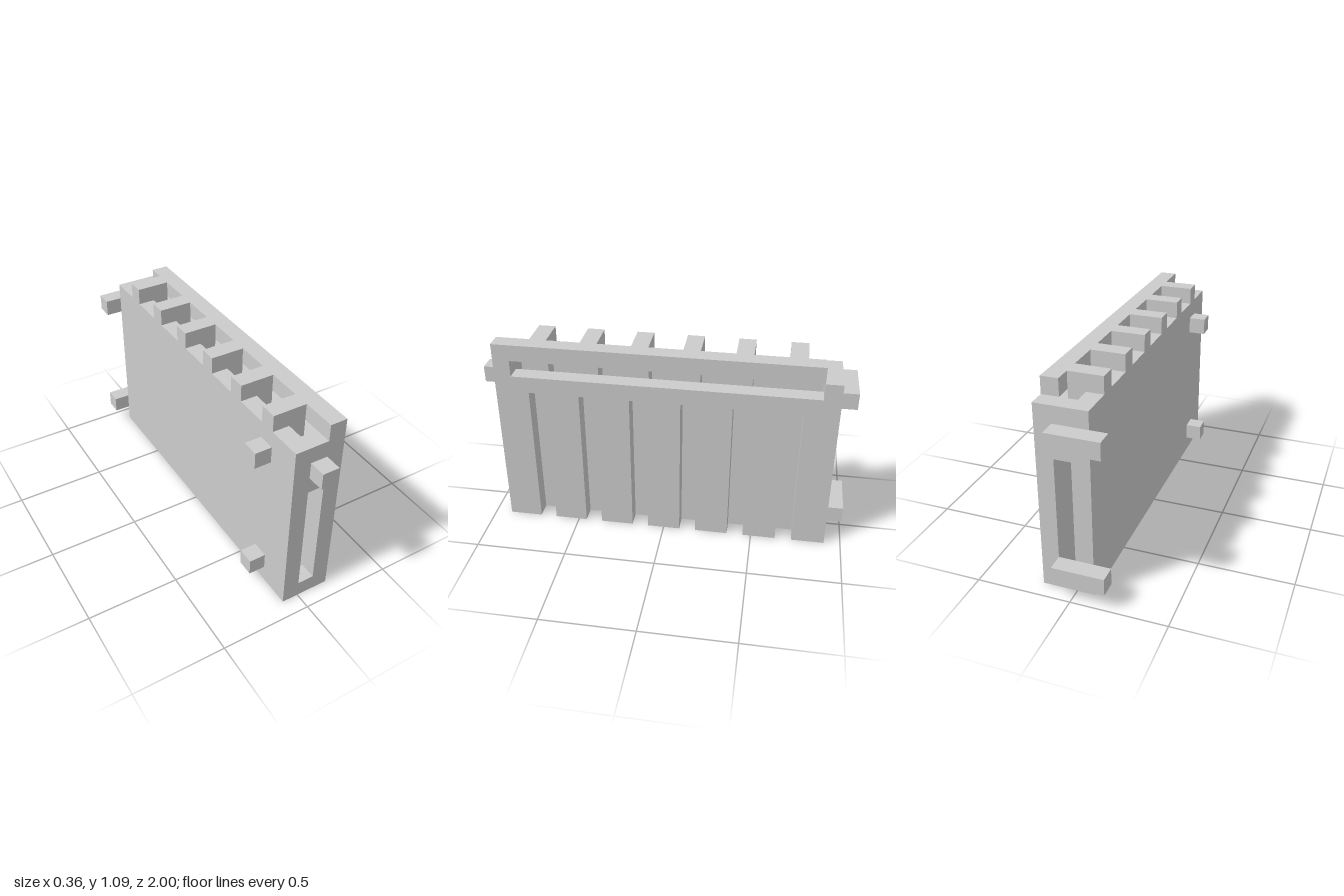
import * as THREE from 'three';

const U = 1 / 11; // one grid step
const RIBS = [-8, -5, -2, 1, 4, 7]; // lower z of each rib and slot

export function createModel() {
  const model = new THREE.Group();
  model.name = 'radiator';
  const grey = new THREE.MeshStandardMaterial({ color: 0xcccccc });
  grey.name = 'lightGrey';

  const add = (name, geometry) => {
    geometry.scale(U, U, U);
    const mesh = new THREE.Mesh(geometry, grey);
    mesh.name = name;
    model.add(mesh);
  };
  // Box given by its limits in grid steps
  const box = (name, x0, x1, y0, y1, z0, z1) => {
    const g = new THREE.BoxGeometry(x1 - x0, y1 - y0, z1 - z0);
    g.translate((x0 + x1) / 2, (y0 + y1) / 2, (z0 + z1) / 2);
    add(name, g);
  };
  // Prism one step deep from an outline
  const prism = (points) => new THREE.ExtrudeGeometry(
    new THREE.Shape(points.map(([a, b]) => new THREE.Vector2(a, b))),
    { depth: 1, bevelEnabled: false }
  );

  // Solid panel on the wall side
  box('wallPanel', -1, 0, 0, 11, -10, 10);

  // Slotted panel: outline in z and y with slots open at the bottom
  const outline = [[-10, 0]];
  for (const z of RIBS) outline.push([z, 0], [z, 9], [z + 1, 9], [z + 1, 0]);
  outline.push([10, 0], [10, 12], [9, 12], [9, 10], [-9, 10], [-9, 11], [-10, 11]);
  const grille = prism(outline);
  grille.rotateY(-Math.PI / 2);
  grille.translate(2, 0, 0);
  add('slottedPanel', grille);

  // Rail above the long horizontal gap
  box('topRail', 1, 2, 11, 12, -9, 9);

  // Ribs between the panels, each with a tooth reaching over the wall panel
  for (const z of RIBS) {
    const rib = prism([[0, 0], [1, 0], [1, 12], [-1, 12], [-1, 11], [0, 11]]);
    rib.translate(0, 0, z);
    add('rib', rib);
  }

  // End walls, each with a tall window
  for (const [end, z] of [['front', 9], ['back', -10]]) {
    box(end + 'EndSill', 0, 1, 0, 1, z, z + 1);
    box(end + 'EndHead', 0, 1, 8, 11, z, z + 1);
  }

  // Pipes at the back end and brackets on the wall side
  for (const y of [1, 9]) {
    box('pipe', -2, 1, y, y + 1, -11, -10);
    box('wallBracket', -2, -1, y, y + 1, 7, 8);
  }
  box('valveKnob', 0, 1, 9, 10, 10, 11);

  return model;
}
